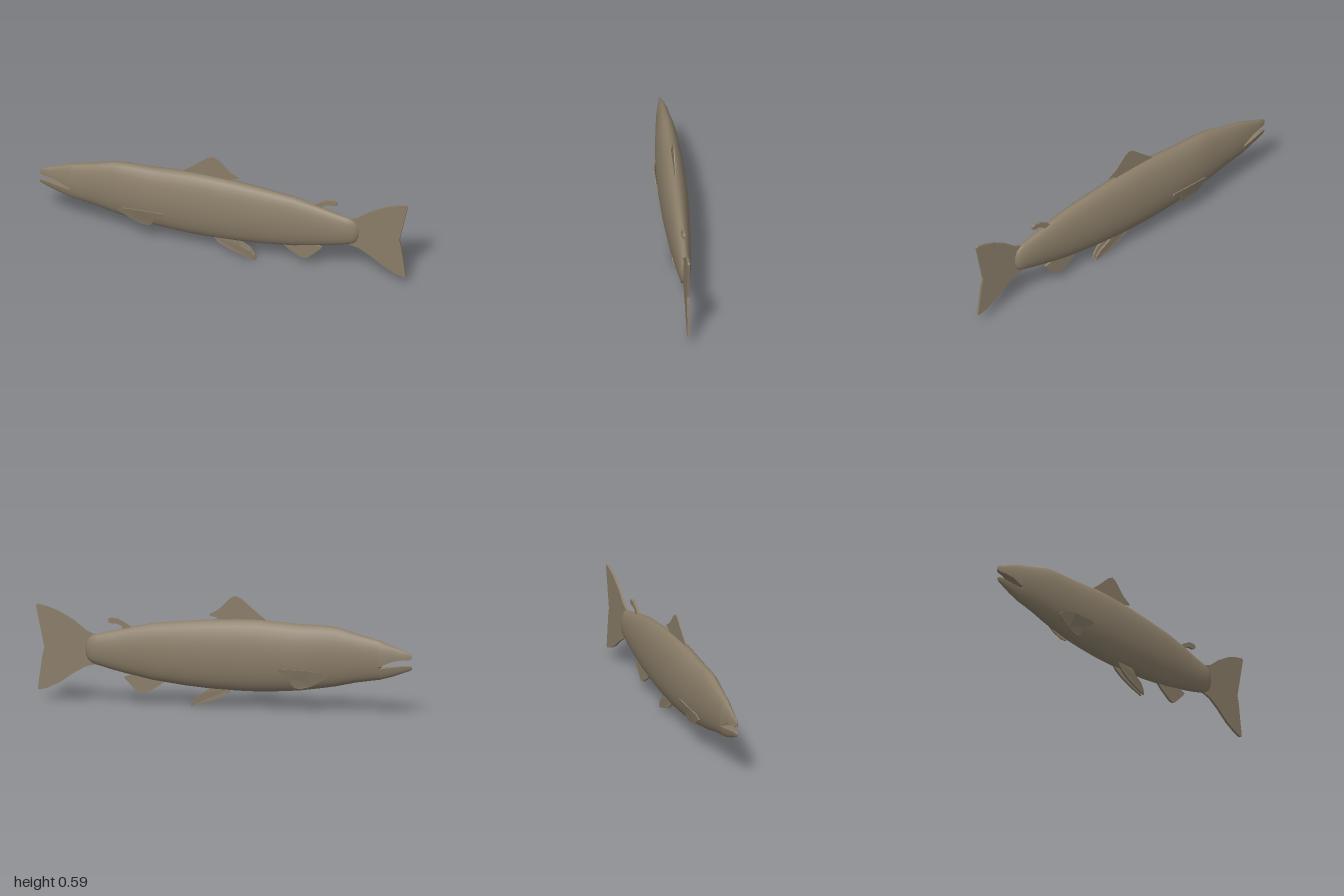
import * as THREE from 'three';
import { toCreasedNormals } from 'three/addons/utils/BufferGeometryUtils.js';

const SIDES = 32;

// Loft through stations [x, top, bottom, halfWidth]; cuts slices each oval at a height
// and keeps the part above (keep = 1) or below (keep = -1).
function loft(stations, cuts, keep) {
  const pos = [], index = [], row = SIDES + 1;
  stations.forEach(([x, top, bottom, w], i) => {
    const cy = (top + bottom) / 2, ry = (top - bottom) / 2;
    let a0 = -Math.PI / 2, a1 = Math.PI * 1.5;
    if (cuts) {
      const t = Math.asin(THREE.MathUtils.clamp((cuts[i] - cy) / ry, -1, 1));
      [a0, a1] = keep > 0 ? [t, Math.PI - t] : [-Math.PI - t, t];
    }
    for (let j = 0; j <= SIDES; j++) {
      const a = a0 + (a1 - a0) * j / SIDES;
      pos.push(x, cy + ry * Math.sin(a), w * Math.cos(a));
    }
  });
  const last = stations.length - 1;
  for (let i = 0; i < last; i++) {
    for (let j = 0; j < (cuts ? row : SIDES); j++) {
      const k = (j + 1) % row;
      const a = i * row + j, b = a + row, c = (i + 1) * row + k, d = i * row + k;
      index.push(a, b, c, a, c, d);
    }
  }
  // End caps
  for (let j = 1; j < SIDES; j++) {
    const e = last * row;
    index.push(0, j, j + 1, e, e + j + 1, e + j);
  }
  const g = new THREE.BufferGeometry();
  g.setAttribute('position', new THREE.Float32BufferAttribute(pos, 3));
  g.setIndex(index);
  return toCreasedNormals(g, 0.7);
}

// Thin fin from an outline, with a rule that places it sideways
function fin(outline, thickness, sideways) {
  const shape = new THREE.Shape(outline.map(([x, y]) => new THREE.Vector2(x, y)));
  const g = new THREE.ExtrudeGeometry(shape, { depth: thickness, bevelEnabled: false });
  const p = g.attributes.position;
  for (let i = 0; i < p.count; i++) {
    p.setZ(i, p.getZ(i) - thickness / 2 + sideways(p.getX(i), p.getY(i)));
  }
  g.computeVertexNormals();
  return g;
}

export function createModel() {
  const model = new THREE.Group();
  model.name = 'fish';
  const skin = new THREE.MeshStandardMaterial({ color: 0x8a7d68 });
  skin.name = 'brown skin';
  const add = (name, geometry) => {
    const mesh = new THREE.Mesh(geometry, skin);
    mesh.name = name;
    model.add(mesh);
  };

  // Body, rounded off at the tail root
  add('body', loft([
    [-0.83, 0.386, 0.18, 0.034], [-0.7, 0.42, 0.16, 0.046], [-0.6, 0.448, 0.137, 0.056],
    [-0.53, 0.454, 0.125, 0.062], [-0.4, 0.456, 0.106, 0.069], [-0.3, 0.463, 0.098, 0.072],
    [-0.18, 0.47, 0.092, 0.074], [-0.08, 0.469, 0.092, 0.073], [0.05, 0.463, 0.096, 0.071],
    [0.2, 0.45, 0.108, 0.065], [0.38, 0.43, 0.13, 0.055], [0.5, 0.405, 0.155, 0.047],
    [0.6, 0.38, 0.178, 0.039], [0.67, 0.364, 0.197, 0.034], [0.7, 0.357, 0.206, 0.029],
    [0.722, 0.338, 0.225, 0.021], [0.733, 0.313, 0.25, 0.011], [0.736, 0.286, 0.278, 0.002],
  ]));

  // Open jaws, both sliced from one head shape
  const head = [
    [-1, 0.315, 0.24, 0.004], [-0.988, 0.325, 0.232, 0.009], [-0.95, 0.339, 0.218, 0.016],
    [-0.9, 0.36, 0.2, 0.024], [-0.83, 0.386, 0.18, 0.034],
  ];
  add('upperJaw', loft(head, [0.297, 0.289, 0.288, 0.28, 0.25], 1));
  add('lowerJaw', loft(head, [0.252, 0.256, 0.255, 0.248, 0.24], -1));

  // Fins along the middle
  add('tailFin', fin([
    [0.64, 0.345], [0.7, 0.362], [0.735, 0.377], [0.8, 0.428], [0.88, 0.473], [0.94, 0.495],
    [0.99, 0.506], [1, 0.5], [0.965, 0.33], [0.955, 0.28], [0.965, 0.24], [0.99, 0.06],
    [0.98, 0.055], [0.93, 0.07], [0.87, 0.1], [0.8, 0.15], [0.735, 0.187], [0.64, 0.21],
  ], 0.012, () => 0.002));
  add('dorsalFin', fin([
    [-0.22, 0.45], [-0.22, 0.472], [-0.18, 0.502], [-0.09, 0.577], [-0.06, 0.59],
    [-0.035, 0.578], [0.03, 0.514], [0.075, 0.49], [0.078, 0.481], [0.04, 0.473], [0.03, 0.45],
  ], 0.005, () => 0));
  add('adiposeFin', fin([
    [0.48, 0.385], [0.5, 0.408], [0.53, 0.428], [0.565, 0.446], [0.6, 0.45], [0.615, 0.442],
    [0.613, 0.426], [0.595, 0.419], [0.57, 0.42], [0.545, 0.41], [0.53, 0.385],
  ], 0.014, () => -0.003));
  add('analFin', fin([
    [0.3, 0.14], [0.34, 0.105], [0.41, 0.062], [0.435, 0.056], [0.455, 0.065], [0.52, 0.127],
    [0.53, 0.143], [0.49, 0.153], [0.45, 0.17],
  ], 0.012, () => -0.005));

  // Paired fins
  const pelvic = [
    [-0.05, 0.11], [-0.02, 0.078], [0.03, 0.048], [0.09, 0.024], [0.175, 0.001],
    [0.168, 0.025], [0.145, 0.055], [0.1, 0.08], [0.07, 0.11],
  ];
  const pectoral = [
    [-0.56, 0.185], [-0.535, 0.21], [-0.45, 0.224], [-0.31, 0.226], [-0.302, 0.217],
    [-0.315, 0.205], [-0.36, 0.182], [-0.37, 0.145], [-0.385, 0.126], [-0.42, 0.121], [-0.48, 0.14],
  ];
  for (const [side, s] of [['left', 1], ['right', -1]]) {
    add(side + 'PelvicFin', fin(pelvic, 0.01,
      (x, y) => 0.007 + s * (0.009 + 0.1 * Math.min(y, 0.07))));
    add(side + 'PectoralFin', fin(pectoral, 0.006,
      (x, y) => s * (0.046 + (y - 0.12) * 0.27 - Math.max(0, -0.45 - x) * 0.12)));
  }
  return model;
}
